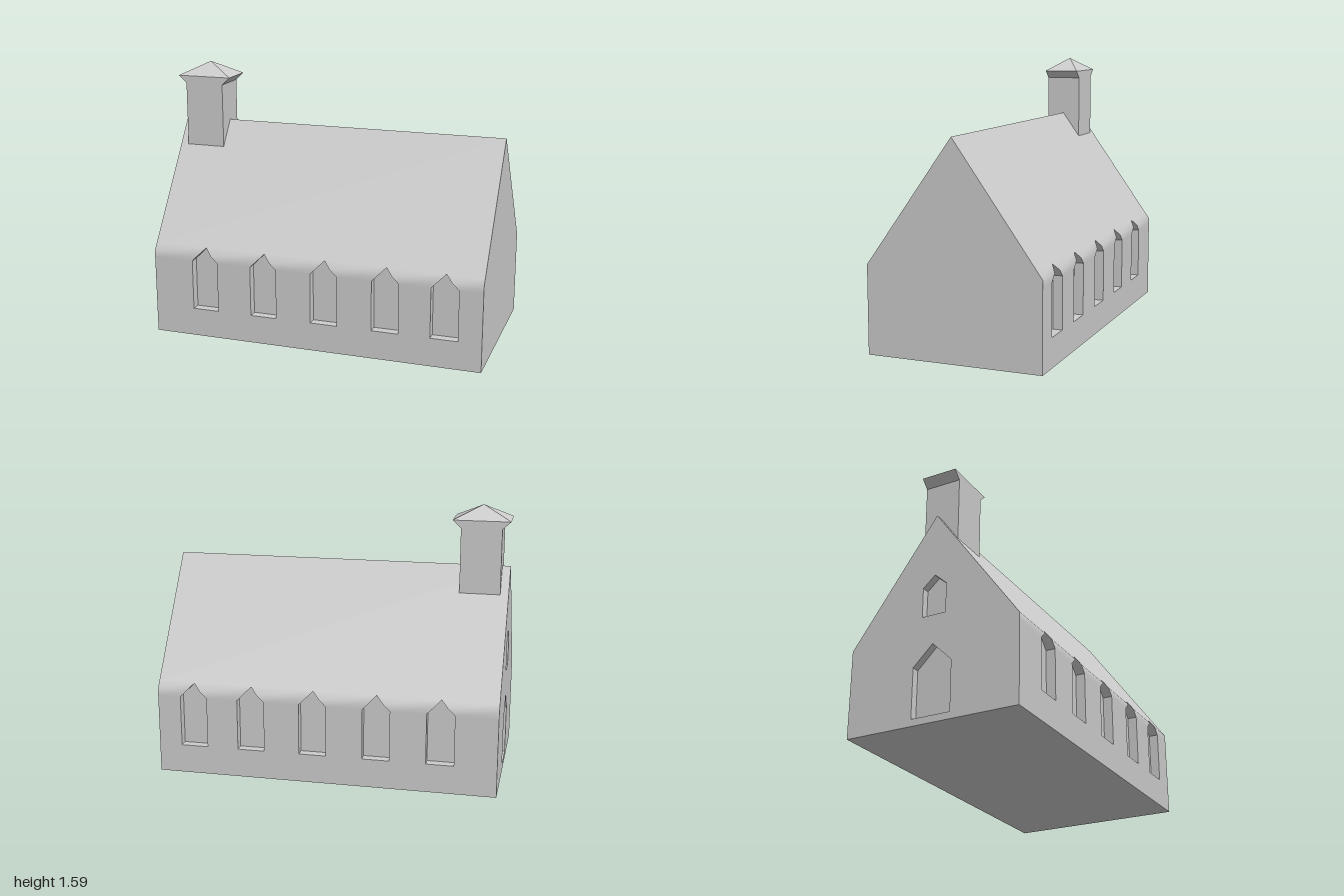
import * as THREE from 'three';
import { toCreasedNormals } from 'three/addons/utils/BufferGeometryUtils.js';

const HALF_LENGTH = 1, HALF_DEPTH = 0.515, EAVE = 0.51, RIDGE = 1.23;
const CREASE = 0.7;

// distance of the wall or roof skin from the centre line at height y
const skin = y => y <= EAVE ? HALF_DEPTH : HALF_DEPTH * (RIDGE - y) / (RIDGE - EAVE);

// collects flat quads (corners counter-clockwise) into one geometry
function quadGeometry(quads) {
  const points = [];
  for (const [a, b, c, d] of quads) points.push(...a, ...b, ...c, ...a, ...c, ...d);
  const g = new THREE.BufferGeometry();
  g.setAttribute('position', new THREE.Float32BufferAttribute(points, 3));
  return toCreasedNormals(g, CREASE);
}

// pointed opening outline, counter-clockwise
function pointedOutline(cx, half, bottom, shoulder, apex) {
  return [[cx - half, bottom], [cx + half, bottom], [cx + half, shoulder],
    [cx, apex], [cx - half, shoulder]];
}

// inner faces of an opening, from the outer skin back to depth z
function revealQuads(outline, outerZ, innerZ) {
  return outline.map(([x, y], i) => {
    const [x2, y2] = outline[(i + 1) % outline.length];
    return [[x, y, outerZ(y)], [x2, y2, outerZ(y2)], [x2, y2, innerZ], [x, y, innerZ]];
  });
}

function panel(outline, z) {
  const g = new THREE.ShapeGeometry(new THREE.Shape(outline.map(p => new THREE.Vector2(...p))));
  return g.translate(0, 0, z);
}

export function createModel() {
  const model = new THREE.Group();
  const stone = new THREE.MeshStandardMaterial({ color: 0xcccccc });
  stone.name = 'pale grey stone';
  const add = (parent, name, geometry) => {
    const mesh = new THREE.Mesh(geometry, stone);
    mesh.name = name;
    parent.add(mesh);
    return mesh;
  };

  // long side: wall and roof slope in one skin, cut by pointed windows
  const levels = [0.17, 0.47, EAVE, 0.55];
  const halves = [0.08, 0.08, 0.04, 0];
  const windowBack = HALF_DEPTH - 0.055;
  function longSide(name, centres) {
    const side = new THREE.Group();
    side.name = name;
    const at = (x, y) => [x, y, skin(y)];
    const band = (y0, y1) => [at(-HALF_LENGTH, y0), at(HALF_LENGTH, y0),
      at(HALF_LENGTH, y1), at(-HALF_LENGTH, y1)];
    const quads = [band(0, levels[0]), band(levels[3], RIDGE)];
    for (let gap = 0; gap <= centres.length; gap++) {
      const left = l => gap === 0 ? -HALF_LENGTH : centres[gap - 1] + halves[l];
      const right = l => gap === centres.length ? HALF_LENGTH : centres[gap] - halves[l];
      for (let l = 0; l < 3; l++) {
        quads.push([at(left(l), levels[l]), at(right(l), levels[l]),
          at(right(l + 1), levels[l + 1]), at(left(l + 1), levels[l + 1])]);
      }
    }
    add(side, 'wallAndRoof', quadGeometry(quads));
    for (const cx of centres) {
      // the extra points follow the bend at the eave
      const outline = [
        ...[0, 1, 2, 3].map(l => [cx + halves[l], levels[l]]),
        ...[2, 1, 0].map(l => [cx - halves[l], levels[l]])];
      add(side, 'windowReveal', quadGeometry(revealQuads(outline, skin, windowBack)));
      add(side, 'windowPanel', panel(outline, windowBack));
    }
    model.add(side);
    return side;
  }
  const centres = [-0.675, -0.305, 0.068, 0.437, 0.783];
  longSide('frontSide', centres);
  longSide('backSide', centres.map(c => -c).reverse()).rotation.y = Math.PI;

  // gable ends: plain on one end, door and small window on the other
  function gable(name, openings, angle) {
    const end = new THREE.Group();
    end.name = name;
    const shape = new THREE.Shape([[-HALF_DEPTH, 0], [HALF_DEPTH, 0], [HALF_DEPTH, EAVE],
      [0, RIDGE], [-HALF_DEPTH, EAVE]].map(p => new THREE.Vector2(...p)));
    const back = HALF_LENGTH - 0.045;
    for (const [label, outline] of openings) {
      shape.holes.push(new THREE.Path(outline.map(p => new THREE.Vector2(...p))));
      add(end, label + 'Reveal', quadGeometry(revealQuads(outline, () => HALF_LENGTH, back)));
      add(end, label + 'Panel', panel(outline, back));
    }
    add(end, 'gableWall', new THREE.ShapeGeometry(shape).translate(0, 0, HALF_LENGTH));
    end.rotation.y = angle;
    model.add(end);
  }
  gable('plainGable', [], Math.PI / 2);
  gable('entranceGable', [
    ['door', pointedOutline(0, 0.116, 0.04, 0.33, 0.445)],
    ['gableWindow', pointedOutline(0, 0.072, 0.615, 0.79, 0.855)],
  ], -Math.PI / 2);

  // underside
  add(model, 'floor', new THREE.PlaneGeometry(2 * HALF_LENGTH, 2 * HALF_DEPTH).rotateX(Math.PI / 2));

  // bell tower: flared at the top along x only
  const towerHalf = 0.107, towerX = -0.8335;
  const profile = [[-0.118, 1.08], [0.118, 1.08], [0.118, 1.46], [0.1665, 1.505],
    [-0.1665, 1.505], [-0.118, 1.46]].map(p => new THREE.Vector2(...p));
  const tower = new THREE.ExtrudeGeometry(new THREE.Shape(profile),
    { depth: 2 * towerHalf, bevelEnabled: false });
  add(model, 'bellTower', tower.translate(towerX, 0, -towerHalf));

  // four-sided cap
  const cap = new THREE.ConeGeometry(Math.SQRT2, 0.08, 4).rotateY(Math.PI / 4)
    .scale(0.1665, 1, towerHalf).translate(towerX, 1.545, 0);
  add(model, 'towerCap', toCreasedNormals(cap, 0.3));

  return model;
}
